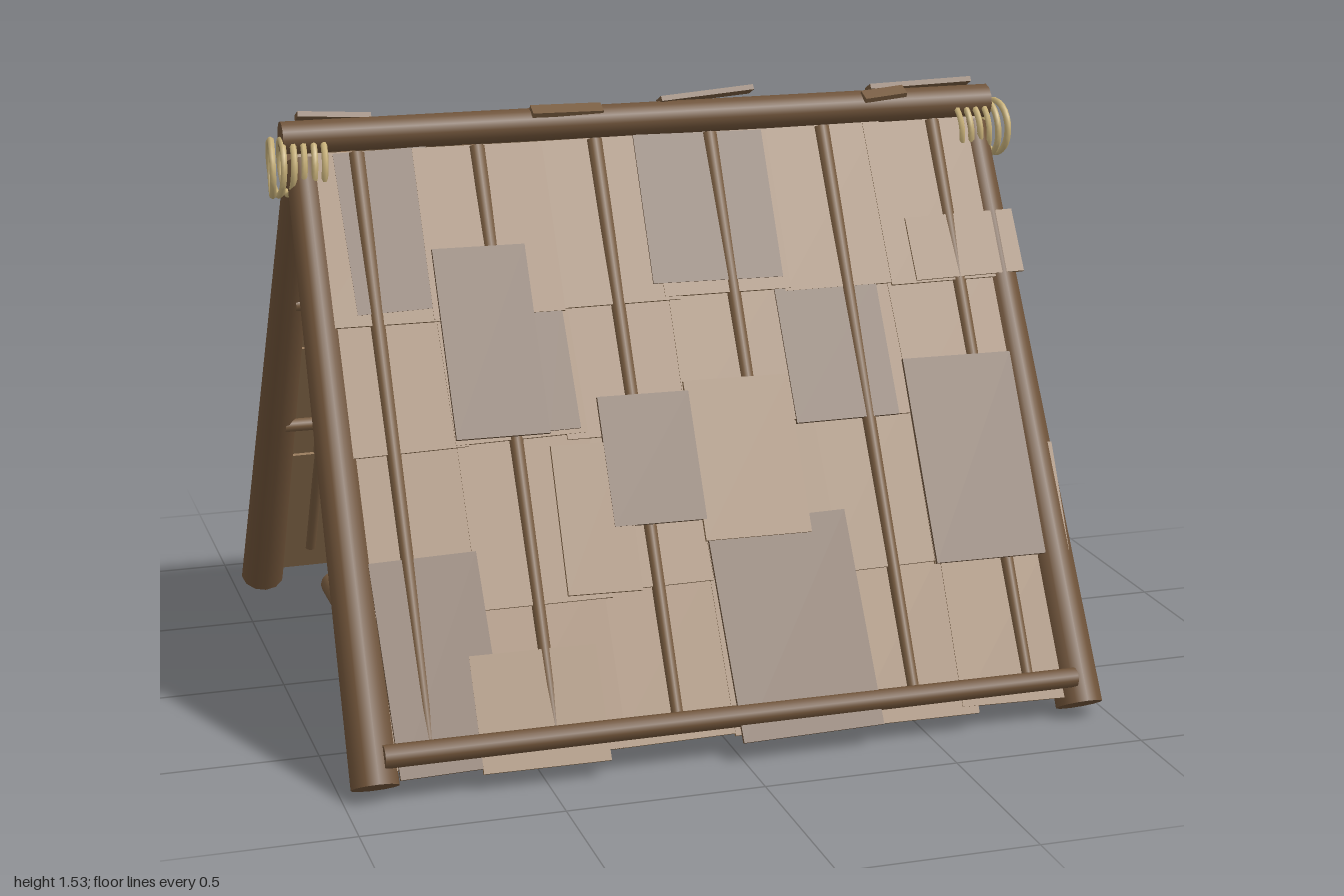
import * as THREE from 'three';

const material = (color) => new THREE.MeshStandardMaterial({ color });
const mats = {
  log: material(0x6e5238), pole: material(0x765a3e), tile: material(0x8f7150),
  dark: material(0x705740), light: material(0xa68763), rope: material(0xc9b27a), slab: material(0x85786a),
};
const SLOPE = 0.525, FOOT_Y = 0.04, FOOT_Z = 0.8;

let seed = 7;
const rand = () => { // -1 .. 1, repeatable
  seed = (seed * 16807) % 2147483647;
  return (seed / 2147483647) * 2 - 1;
};

function add(parent, name, geometry, mat) {
  const mesh = new THREE.Mesh(geometry, mat);
  mesh.name = name;
  parent.add(mesh);
  return mesh;
}

// Round pole between two points, tapering from r0 to r1
function log(parent, name, from, to, r0, r1, mat = mats.log) {
  const a = new THREE.Vector3(...from), b = new THREE.Vector3(...to);
  const dir = b.clone().sub(a);
  const mesh = add(parent, name, new THREE.CylinderGeometry(r1, r0, dir.length(), 12), mat);
  mesh.position.copy(a).add(b).multiplyScalar(0.5);
  mesh.quaternion.setFromUnitVectors(new THREE.Vector3(0, 1, 0), dir.normalize());
  return mesh;
}

// Bark sheet in slope coordinates; y0 and y1 are heights above the ground
function sheet(parent, x0, x1, y0, y1, offset, mat, turn) {
  const v0 = (y0 - FOOT_Y - offset / 2) / 0.865, v1 = (y1 - FOOT_Y - offset / 2) / 0.865;
  const mesh = add(parent, 'barkSheet', new THREE.BoxGeometry(x1 - x0, v1 - v0, 0.01), mat);
  mesh.position.set((x0 + x1) / 2, (v0 + v1) / 2, offset);
  mesh.rotation.set(-0.012, 0, turn);
}

// One roof side: local y runs up the slope, local z points outwards
function roofSide(name, patches) {
  const side = new THREE.Group(), slope = new THREE.Group();
  side.name = name;
  slope.name = 'slope';
  slope.position.set(0, FOOT_Y, FOOT_Z);
  slope.rotation.x = -SLOPE;
  side.add(slope);

  for (const s of [-1, 1]) log(slope, 'endPole', [s * 0.92, -0.005, 0], [s * 0.908, 1.58, 0], 0.06, 0.043);
  log(slope, 'bottomRail', [-0.9, 0.06, 0.05], [0.9, 0.06, 0.05], 0.029, 0.025);
  for (const y of [0.65, 1.11]) log(slope, 'purlin', [-0.9, y, -0.035], [0.9, y, -0.035], 0.021, 0.018, mats.pole);
  for (let i = 0; i < 6; i++) {
    const x = -0.78 + i * 0.312;
    log(slope, 'rafter', [x, 0.07, 0.026], [x + 0.006, 1.585, 0.026], 0.016, 0.022, mats.pole);
  }

  // Overlapping rows of base sheets
  const rows = [[0.06, 0.46], [0.4, 0.82], [0.75, 1.12], [1.04, 1.43]];
  rows.forEach(([y0, y1], r) => {
    for (let c = 0; c < 6; c++) {
      const x = -0.76 + c * 0.304 + rand() * 0.015;
      const drop = r === 0 ? rand() * 0.015 : rand() * 0.012;
      sheet(slope, x - 0.17, x + 0.17, y0 + drop, y1, 0.022 + r * 0.003 + (c % 2) * 0.002, mats.tile, rand() * 0.025);
    }
  });
  // Loose patches lying over the rafters
  for (const [x0, x1, y0, y1, mat, offset = 0.05] of patches) {
    sheet(slope, x0, x1, y0, y1, offset, mat, rand() * 0.03);
  }
  return side;
}

// Rope lashing: a coil wound around the pole crossing
function lashing(parent, s) {
  const points = [];
  const turns = 5, steps = 16;
  for (let i = 0; i <= turns * steps; i++) {
    const a = (i / steps) * Math.PI * 2;
    points.push(new THREE.Vector3(s * (0.855 + 0.13 * i / (turns * steps)), 1.395 + 0.07 * Math.cos(a), 0.07 * Math.sin(a)));
  }
  add(parent, 'ropeLashing', new THREE.TubeGeometry(new THREE.CatmullRomCurve3(points), 160, 0.0085, 6), mats.rope);
  const ring = add(parent, 'ropeRing', new THREE.TorusGeometry(0.07, 0.009, 6, 24), mats.rope);
  ring.position.set(s * 0.985, 1.395, 0);
  ring.rotation.y = Math.PI / 2 + s * 0.12;
}

export function createModel() {
  const model = new THREE.Group();
  model.name = 'barkShelter';
  const { tile, dark, light } = mats;

  model.add(roofSide('frontRoof', [
    [-0.83, -0.59, 1.06, 1.43, dark, 0.032], [-0.62, -0.38, 0.77, 1.2, dark], [-0.38, -0.3, 0.77, 1.06, dark, 0.035],
    [-0.05, 0.3, 1.08, 1.43, dark, 0.035], [0.27, 0.55, 0.74, 1.06, dark, 0.035], [-0.25, -0.01, 0.55, 0.84, dark],
    [-0.02, 0.26, 0.5, 0.86, tile], [0.58, 0.88, 0.4, 0.87, dark], [-0.01, 0.36, 0.06, 0.54, dark],
    [-0.87, -0.6, 0.06, 0.52, dark, 0.034], [-0.39, -0.2, 0.41, 0.74, tile], [0.66, 0.965, 1.05, 1.2, tile, 0.04],
    [0.64, 0.955, 0.4, 0.65, tile, 0.036], [-0.66, -0.34, 0.05, 0.3, tile, 0.036],
  ]));
  const back = roofSide('backRoof', [
    [0.26, 0.63, 0.68, 1.12, light], [-0.63, -0.34, 0.37, 0.66, light], [-0.63, -0.32, 0.64, 1.13, dark, 0.055],
    [-0.14, 0.03, 0.97, 1.35, light], [0.05, 0.25, 0.63, 0.95, dark], [-0.3, 0.04, 0.34, 0.8, tile],
    [0.3, 0.6, 0.36, 0.7, tile], [-0.88, -0.79, 0.36, 0.8, dark, 0.034], [-0.02, 0.3, 0.05, 0.36, tile, 0.036],
    [0.55, 0.87, 0.06, 0.4, tile, 0.034],
  ]);
  back.rotation.y = Math.PI;
  model.add(back);

  // Ridge with splinters of bark lying on it
  log(model, 'ridgePole', [-0.96, 1.47, 0], [0.955, 1.467, 0], 0.042, 0.045);
  for (const [x, y, z, length, tilt, turn] of [
    [-0.82, 1.513, -0.025, 0.19, -0.05, 0.06], [-0.22, 1.506, 0.022, 0.19, -0.04, 0.03],
    [0.17, 1.518, -0.025, 0.27, 0.11, 0.12], [0.65, 1.505, 0.03, 0.12, 0.03, 0.1], [0.77, 1.515, -0.025, 0.3, 0.05, 0.08],
  ]) {
    const chip = add(model, 'ridgeSplinter', new THREE.BoxGeometry(length, 0.014, 0.035), mats.pole);
    chip.position.set(x, y, z);
    chip.rotation.set(-Math.sign(z) * -0.5, turn, tilt);
  }
  for (const s of [-1, 1]) lashing(model, s);

  // Closed gable wall at one end
  const triangle = new THREE.Shape([[-0.7, 0.075], [0.7, 0.075], [0, 1.39]].map((p) => new THREE.Vector2(...p)));
  const gable = add(model, 'gableWall', new THREE.ExtrudeGeometry(triangle, { depth: 0.015, bevelEnabled: false }), tile);
  gable.rotation.y = Math.PI / 2;
  gable.position.x = 0.835;

  // Threshold log at the open end, and sleeping platform
  log(model, 'thresholdLog', [-0.77, 0.095, -0.5], [-0.77, 0.095, 0.5], 0.034, 0.034, mats.pole);
  const platform = add(model, 'platform', new THREE.BoxGeometry(1.13, 0.07, 0.7), mats.slab);
  platform.position.set(-0.02, 0.09, 0);
  return model;
}
